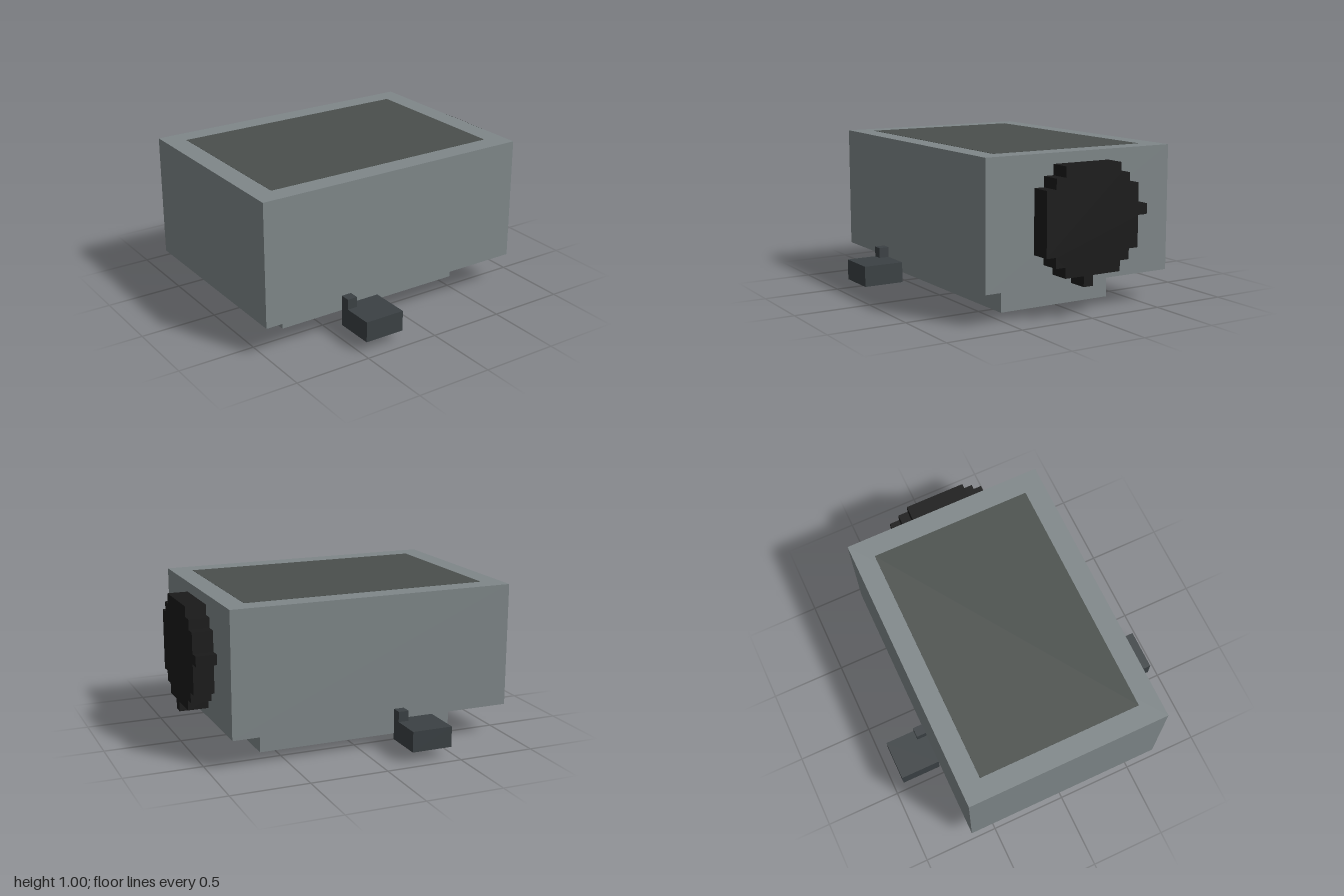
import * as THREE from 'three';

// All sizes are in blocks; the model is 30 blocks long.
const U = 1 / 15;

const material = (color) => new THREE.MeshStandardMaterial({ color });

// Box spanning two opposite corners, given in blocks.
function block(name, [x0, y0, z0], [x1, y1, z1], mat) {
  const geometry = new THREE.BoxGeometry((x1 - x0) * U, (y1 - y0) * U, (z1 - z0) * U);
  const mesh = new THREE.Mesh(geometry, mat);
  mesh.position.set((x0 + x1) / 2 * U, (y0 + y1) / 2 * U, (z0 + z1) / 2 * U);
  mesh.name = name;
  return mesh;
}

export function createModel() {
  const model = new THREE.Group();
  model.name = 'blockDevice';
  const shell = material(0x7f8789);
  const panelMat = material(0x4a4f4c);
  const footMat = material(0x3b4144);
  const discMat = material(0x1a1a1a);

  // Main housing on a smaller plinth, with a dark panel set in the top
  model.add(block('housing', [-15, 3, -10], [13, 15, 10], shell));
  model.add(block('plinth', [-11, 0, -6], [9, 3, 6], shell));
  model.add(block('topPanel', [-13, 14, -8], [11, 15.02, 8], panelMat));

  // Side brackets: the back one is the front one turned half round about x = -5
  for (const [name, turn] of [['frontBracket', 0], ['backBracket', Math.PI]]) {
    const bracket = new THREE.Group();
    bracket.name = name;
    bracket.add(block('bracketPlate', [-2, 1, 10], [2, 3, 14], footMat));
    bracket.add(block('bracketStud', [-2, 3, 10], [-1, 4, 11], footMat));
    bracket.position.x = -5 * U;
    bracket.rotation.y = turn;
    model.add(bracket);
  }

  // Stepped round disc on the left end, with two one-block tabs.
  // Outline points are [z, y] in blocks.
  const quarter = [[3, 5], [3, 4], [4, 4], [4, 3], [5, 3]];
  const flip = (sz, sy) => quarter.map(([z, y]) => [sz * z, 9 + sy * y]);
  const outline = [
    ...flip(1, 1),
    ...flip(1, -1).reverse(),
    [1, 4], [1, 3], [0, 3], [0, 4], // bottom tab
    ...flip(-1, -1),
    [-5, 9], [-6, 9], [-6, 10], [-5, 10], // back tab
    ...flip(-1, 1).reverse(),
  ];
  // The shape lies in (-z, y) and is extruded along x
  const shape = new THREE.Shape(outline.map(([z, y]) => new THREE.Vector2(-z * U, y * U)));
  const discGeometry = new THREE.ExtrudeGeometry(shape, { depth: 2 * U, bevelEnabled: false });
  discGeometry.rotateY(Math.PI / 2);
  const disc = new THREE.Mesh(discGeometry, discMat);
  disc.name = 'endDisc';
  disc.position.x = 13 * U;
  model.add(disc);

  return model;
}
